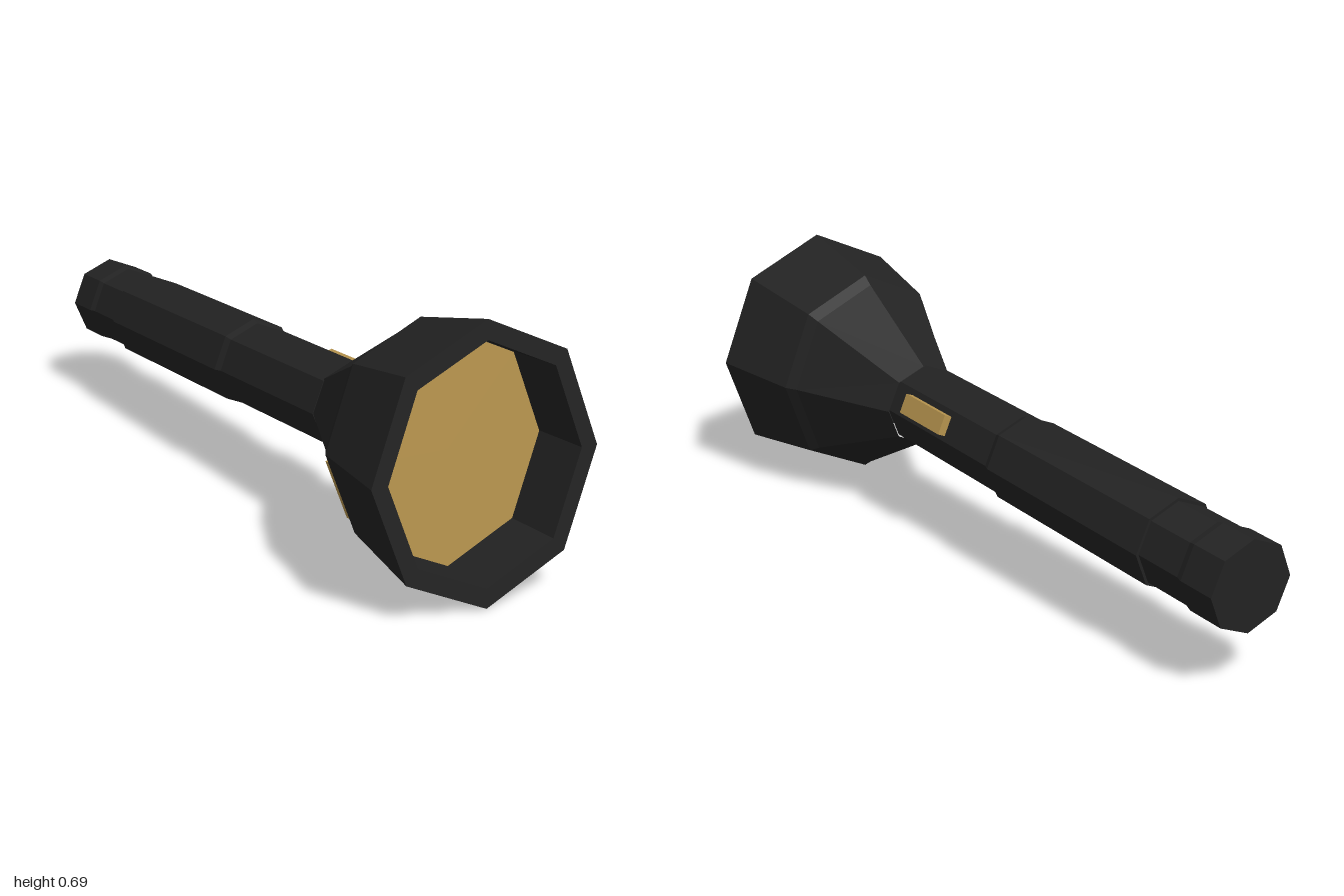
import * as THREE from 'three';

const black = new THREE.MeshStandardMaterial({ color: 0x232323, flatShading: true });
black.name = 'matte black';
const gold = new THREE.MeshStandardMaterial({ color: 0xb9964f, flatShading: true });
gold.name = 'warm gold';

// Eight-sided solid along z from [radius, z] pairs
function octagon(name, profile, material, squash = () => 1) {
  const geometry = new THREE.LatheGeometry(profile.map(([r, z]) => new THREE.Vector2(r, z)), 8);
  geometry.rotateX(Math.PI / 2);
  const p = geometry.attributes.position;
  for (let i = 0; i < p.count; i++) p.setX(i, p.getX(i) * squash(p.getZ(i)));
  const mesh = new THREE.Mesh(geometry, material);
  mesh.name = name;
  return mesh;
}

function box(name, size, position, angle) {
  const mesh = new THREE.Mesh(new THREE.BoxGeometry(...size), gold);
  mesh.name = name;
  mesh.position.set(...position);
  mesh.rotation.z = angle;
  return mesh;
}

export function createModel() {
  const torch = new THREE.Group();
  torch.name = 'torch';

  // Handle: end cap, neck, wider grip and front tube
  const handle = octagon('handle', [
    [0, -0.995], [0.12, -0.995], [0.12, -0.885], [0.114, -0.865],
    [0.114, -0.72], [0.122, -0.72], [0.122, -0.09], [0.114, -0.07],
    [0.113, 0.41], [0, 0.41],
  ], black);
  handle.position.x = -0.009;

  // The head is round at the handle and narrower across x at the rim
  const squash = (z) => THREE.MathUtils.lerp(1, 0.9, THREE.MathUtils.smoothstep(z, 0.4, 0.7));

  // Head: cone, shoulder, flared bell, flat rim and recess
  const head = octagon('head', [
    [0.113, 0.395], [0.272, 0.68], [0.293, 0.71], [0.345, 0.985],
    [0.296, 0.985], [0.292, 0.8], [0, 0.8],
  ], black, squash);

  // Lens set back inside the rim
  const lens = octagon('lens', [[0.291, 0.81], [0.291, 0.825], [0, 0.825]], gold, squash);

  // Switch on the upper left facet of the handle
  const facet = Math.PI / 8;
  const control = box('switch', [0.03, 0.055, 0.193],
    [0.11 * Math.cos(facet) - 0.006, 0.11 * Math.sin(facet), 0.23], facet);

  // Lens edge showing at the shoulder on the lower right
  const edge = box('lensEdge', [0.009, 0.16, 0.035], [-0.211, -0.102, 0.693], 0.36);

  torch.add(handle, head, lens, control, edge);

  // Resting on the rim with the tail slightly low
  torch.rotation.x = -0.04;
  torch.position.set(0, 0.306, 0);
  const model = new THREE.Group();
  model.name = 'model';
  model.add(torch);
  return model;
}
